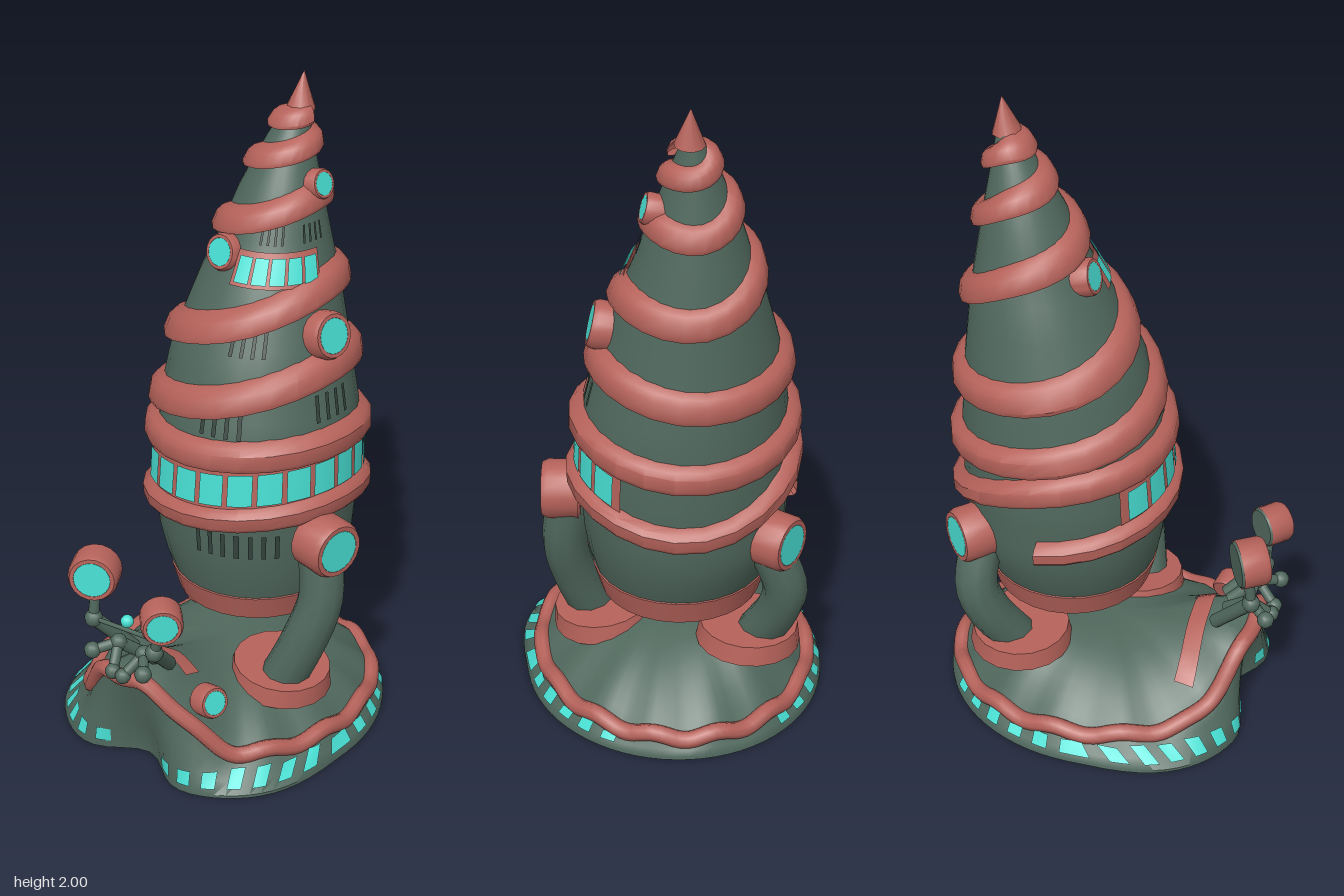
import * as THREE from 'three';
import { mergeVertices, toCreasedNormals } from 'three/addons/utils/BufferGeometryUtils.js';

const { sin, cos, PI, exp, abs, hypot, atan2, floor, min } = Math;
const lerp = THREE.MathUtils.lerp;
const V = (x, y, z) => new THREE.Vector3(x, y, z);

// Shell cross-sections: height, centre x, centre z, radius
const SHELL = [
  [0.39, 0, -0.14, 0.235], [0.47, 0, -0.14, 0.258], [0.53, -0.005, -0.145, 0.28], [0.62, -0.01, -0.15, 0.3],
  [0.8, -0.01, -0.15, 0.312], [1.0, -0.01, -0.16, 0.302], [1.2, -0.02, -0.18, 0.265], [1.4, -0.02, -0.217, 0.208],
  [1.5, -0.02, -0.238, 0.172], [1.66, -0.018, -0.262, 0.122], [1.8, -0.01, -0.29, 0.07], [1.9, 0, -0.315, 0.03], [1.95, 0.005, -0.325, 0.01],
];
// Height of the spiral rib at every quarter turn, starting at the model's right (-x)
const RIB = [0.68, 0.75, 0.79, 0.73, 0.9, 0.955, 0.98, 0.93, 1.0, 1.1, 1.2, 1.15, 1.2, 1.31, 1.42, 1.4,
  1.53, 1.6, 1.66, 1.64, 1.73, 1.77, 1.8, 1.81, 1.86, 1.87, 1.88];
const ribCurve = new THREE.CatmullRomCurve3(RIB.map((y, i) => V(i, y, 0)));
const ribY = (a) => ribCurve.getPoint((a + PI / 2) / (PI / 2) / (RIB.length - 1)).y;

// Point on the shell at angle a (0 = front, +x next), height y, pushed outward by off
function shellPoint(a, y, off = 0) {
  let i = 0;
  while (i < SHELL.length - 2 && y > SHELL[i + 1][0]) i++;
  const A = SHELL[i], B = SHELL[i + 1], k = (y - A[0]) / (B[0] - A[0]);
  const r = lerp(A[3], B[3], k) + off;
  return V(lerp(A[1], B[1], k) + r * sin(a), y, lerp(A[2], B[2], k) + r * cos(a));
}

// Body: wavy raised rim, skirt below it and domed back above it; the skirt is squarer in front
const rimH = (a) => 0.06 + 0.02 * (1 + cos(a)) + 0.215 * exp(-((abs(a) / 0.55) ** 3)) + 0.01 * sin(14 * a);
const rimXZ = (a, t = 1) => [0.41 * sin(a) * t, 0.475 * cos(a) * t - 0.025];
function backPoint(a, t, off = 0) {
  const [x, z] = rimXZ(a, t);
  const bump = 0.06 * exp(-((a / 0.5) ** 2)) * sin(PI * t ** 2.2);
  const footMound = 0.055 * exp(-(((x + 0.19) ** 2 + (z + 0.24) ** 2) / 0.02)) * (1 - t ** 6);
  return V(x, lerp(0.24, rimH(a), t ** 2.6) + bump + footMound + off, z);
}
function skirtPoint(a, y, off = 0) {
  const s = 1 - (y - 0.01) / (rimH(a) - 0.01), [x, z] = rimXZ(a);
  const notch = 1 - 0.24 * exp(-((a / 0.27) ** 2));
  const d = cos(a) > 0 ? cos(a) ** 0.6 : cos(a);
  return V(lerp(x, 0.46 * sin(a), s) + off * sin(a), y + off, lerp(z, 0.51 * d * notch - 0.02, s) + off * cos(a));
}

// Sheet of quads from a rule f(u, v)
function sheet(nu, nv, f, crease) {
  const p = [], idx = [];
  for (let j = 0; j <= nv; j++) for (let i = 0; i <= nu; i++) p.push(...f(i / nu, j / nv, j).toArray());
  for (let j = 0; j < nv; j++) for (let i = 0; i < nu; i++) {
    const a = j * (nu + 1) + i, c = a + nu + 1;
    idx.push(a, a + 1, c + 1, a, c + 1, c);
  }
  let g = new THREE.BufferGeometry();
  g.setAttribute('position', new THREE.Float32BufferAttribute(p, 3));
  g.setIndex(idx);
  g = mergeVertices(g);
  g.computeVertexNormals();
  return crease ? toCreasedNormals(g, crease) : g;
}

export function createModel() {
  const mat = (name, color) => Object.assign(new THREE.MeshStandardMaterial({ color, side: THREE.DoubleSide }), { name });
  const green = mat('mossGreen', 0x50685d), red = mat('clayRed', 0xb5625a);
  const cyan = mat('glassCyan', 0x48dfd3), dark = mat('ventDark', 0x33423c);
  const model = new THREE.Group();
  model.name = 'snailRocket';
  const add = (name, geo, m, parent = model) => {
    const mesh = new THREE.Mesh(geo, m);
    mesh.name = name;
    parent.add(mesh);
    return mesh;
  };
  const ang = (u) => (u * 2 - 1) * PI;

  // Body with flat sole, skirt and back
  add('body', sheet(72, 16, (u, v, j) => {
    const a = ang(u);
    if (j === 0) return V(0, 0, -0.02);
    if (j === 1) return skirtPoint(a, 0.01).setY(0);
    if (j <= 5) return skirtPoint(a, lerp(0.01, rimH(a), (j - 2) / 3));
    return backPoint(a, 1 - (j - 5) / 11);
  }, 0.8), green);
  const rimPts = Array.from({ length: 72 }, (_, i) => backPoint(ang(i / 72), 1));
  add('bodyRim', new THREE.TubeGeometry(new THREE.CatmullRomCurve3(rimPts, true), 144, 0.026, 8, true), red);
  // Glowing spots along the skirt, none at the front notch or the very back
  for (let i = 0; i < 34; i++) {
    const a = ang((i + 0.5) / 34);
    if (abs(a) < 0.2 || cos(a) < -0.8) continue;
    const top = min(0.066, rimH(a) * 0.72);
    add('skirtSpot', sheet(4, 2, (u, v) => skirtPoint(a + (u - 0.5) * 0.1, lerp(0.022, top, v), 0.005)), cyan);
  }
  add('headPatch', sheet(4, 12, (u, v) => {
    const X = lerp(-0.22, 0.1, v) / 0.41, Z = (lerp(0.25, 0.31, u) + 0.025) / 0.475;
    return backPoint(atan2(X, Z), hypot(X, Z), 0.009);
  }), red);

  // Shell wall, base ring and hollow underside
  add('shell', sheet(28, 30, (u, v) => shellPoint(ang(u), lerp(0.47, 1.95, v))), green);
  add('shellBase', toCreasedNormals(new THREE.LatheGeometry([
    [0, 0.45], [0.14, 0.45], [0.15, 0.41], [0.18, 0.39], [0.24, 0.39], [0.263, 0.47], [0.24, 0.48],
  ].map(([x, y]) => new THREE.Vector2(x, y)), 28), 0.6), red).position.set(0, 0, -0.14);

  // Spiral rib hugging the wall, with a sloped upper ledge
  const turns = (RIB.length - 1) / 4;
  const PROFILE = [[-0.2, -1], [0.85, -1], [1.1, -0.6], [1.1, 0.5], [0.75, 1], [-0.05, 1.35]];
  add('spiralRib', sheet(floor(turns * 24), 5, (u, v, j) => {
    const a = -PI / 2 + u * turns * 2 * PI, [o, h] = PROFILE[j];
    const y = ribY(a), k = (y - 0.68) / 1.2;
    return shellPoint(a, y + h * (0.03 + 0.011 * sin(PI * k) - 0.006 * k), o * lerp(0.036, 0.025, k));
  }, 0.6), red);
  const tip = add('shellTip', new THREE.ConeGeometry(0.044, 0.11, 10), red);
  tip.position.set(0.008, 1.945, -0.325);
  tip.rotation.x = -0.12;

  // Window rows: red backing strip with glass panes
  function windowRow(a0, a1, n, yAt, h) {
    const strip = (b0, b1, hh, off, seg) => sheet(seg, 1, (u, v) => {
      const a = lerp(b0, b1, u);
      return shellPoint(a, yAt(a) + (v - 0.5) * hh, off);
    });
    add('windowFrame', strip(a0 - 0.05, a1 + 0.05, h + 0.025, 0.008, n * 3), red);
    for (let i = 0; i < n; i++) {
      const w = (a1 - a0) / n, b = a0 + i * w;
      add('windowPane', strip(b + w * 0.08, b + w * 0.92, h, 0.016, 3), cyan);
    }
  }
  windowRow(-0.7, 2.3, 11, (a) => (ribY(a) + ribY(a + 2 * PI)) / 2, 0.1);
  windowRow(0.1, 1.4, 5, () => 1.48, 0.07);

  // Slit vents
  for (const [a0, y, h] of [[0.1, 0.67, 0.08], [0.5, 0.67, 0.08], [0.1, 1.06, 0.08], [1.3, 1.09, 0.08],
    [0.3, 1.29, 0.08], [0.4, 1.57, 0.05], [1.2, 1.57, 0.05]])
    for (let i = 0; i < 4; i++) {
      const a = a0 + i * 0.13;
      add('ventSlit', sheet(1, 2, (u, v) => shellPoint(a + (u - 0.5) * 0.045, y + (v - 0.5) * h, 0.006)), dark);
    }

  // Round fitting with a glass lens, facing dir
  function porthole(name, pos, dir, r, d, back = red) {
    const g = new THREE.Group(), y = d / 2;
    g.name = name;
    const ring = [[r, -y], [r, y - r * 0.2], [r * 0.9, y], [r * 0.74, y], [r * 0.7, y - r * 0.2]];
    add('ring', toCreasedNormals(new THREE.LatheGeometry(ring.map((p) => new THREE.Vector2(...p)), 18), 0.6), red, g);
    add('backPlate', new THREE.CylinderGeometry(r * 0.99, r * 0.9, r * 0.15, 18), back, g).position.y = -y;
    add('lens', new THREE.CylinderGeometry(r * 0.73, r * 0.73, 0.008, 18), cyan, g).position.y = y - 0.004;
    g.position.set(...pos);
    g.quaternion.setFromUnitVectors(V(0, 1, 0), V(...dir).normalize());
    model.add(g);
  }
  porthole('shellPorthole', [-0.065, 1.5, -0.075], [-0.05, 0.3, 1], 0.056, 0.065);
  porthole('shellPorthole', [0.228, 1.29, -0.17], [1, 0.25, 0.15], 0.072, 0.075);
  porthole('shellPorthole', [0.1, 1.69, -0.28], [1, 0.3, 0.05], 0.046, 0.06);
  porthole('headPorthole', [0.2, 0.255, 0.32], [1, 0.3, 0.25], 0.05, 0.06);
  porthole('hip', [0.345, 0.685, -0.045], [1, 0, 0.2], 0.09, 0.11);
  porthole('hip', [-0.245, 0.65, -0.38], [-0.7, 0, -0.7], 0.085, 0.1);

  // Legs and foot pads
  const tube = (name, pts, r, m = green) =>
    add(name, new THREE.TubeGeometry(new THREE.CatmullRomCurve3(pts.map((p) => V(...p))), 12, r, 10), m);
  tube('leg', [[0.315, 0.67, -0.055], [0.335, 0.5, -0.035], [0.3, 0.35, 0], [0.24, 0.2, 0.03]], 0.07);
  tube('leg', [[-0.22, 0.63, -0.355], [-0.275, 0.48, -0.36], [-0.265, 0.38, -0.33], [-0.21, 0.24, -0.26]], 0.067);
  for (const [x, y, z, tilt] of [[0.215, 0.21, 0, -0.12], [-0.19, 0.255, -0.25, 0.05]]) {
    const pad = add('footPad', toCreasedNormals(new THREE.CylinderGeometry(0.148, 0.158, 0.06, 18), 0.6), red);
    pad.position.set(x, y, z);
    pad.rotation.z = tilt;
  }

  // Eyes on jointed stalks
  const ball = (name, p, r, m = green) => add(name, new THREE.SphereGeometry(r, 10, 8), m).position.set(...p);
  porthole('eye', [-0.125, 0.635, 0.455], [0.5, 0.05, 0.83], 0.075, 0.085, green);
  porthole('eye', [0.14, 0.58, 0.46], [0.7, 0, 0.7], 0.062, 0.08, green);
  for (const [elbow, eye, root] of [[[-0.13, 0.48, 0.46], [-0.13, 0.58, 0.45], [-0.08, 0.34, 0.34]],
    [[0.1, 0.45, 0.45], [0.13, 0.55, 0.45], [0.06, 0.34, 0.34]]]) {
    tube('eyeStalk', [root, elbow], 0.022);
    tube('eyeStalk', [elbow, eye], 0.016);
    ball('stalkJoint', elbow, 0.028);
  }

  // Small feeler arms with ball joints and a thin cross rod
  for (const s of [-1, 1]) {
    tube('feeler', [[s * 0.02, 0.35, 0.36], [s * 0.05, 0.42, 0.44]], 0.02);
    tube('feeler', [[s * 0.05, 0.42, 0.44], [s * 0.1, 0.4, 0.5]], 0.016);
    tube('feeler', [[s * 0.05, 0.42, 0.44], [s * 0.02, 0.36, 0.5]], 0.016);
    ball('feelerJoint', [s * 0.05, 0.42, 0.44], 0.026);
    ball('feelerTip', [s * 0.1, 0.4, 0.5], 0.026);
    ball('feelerTip', [s * 0.02, 0.36, 0.5], 0.024);
  }
  tube('crossRod', [[-0.13, 0.48, 0.46], [0.1, 0.5, 0.455]], 0.007);
  ball('rodLight', [0.005, 0.525, 0.46], 0.02, cyan);
  return model;
}
